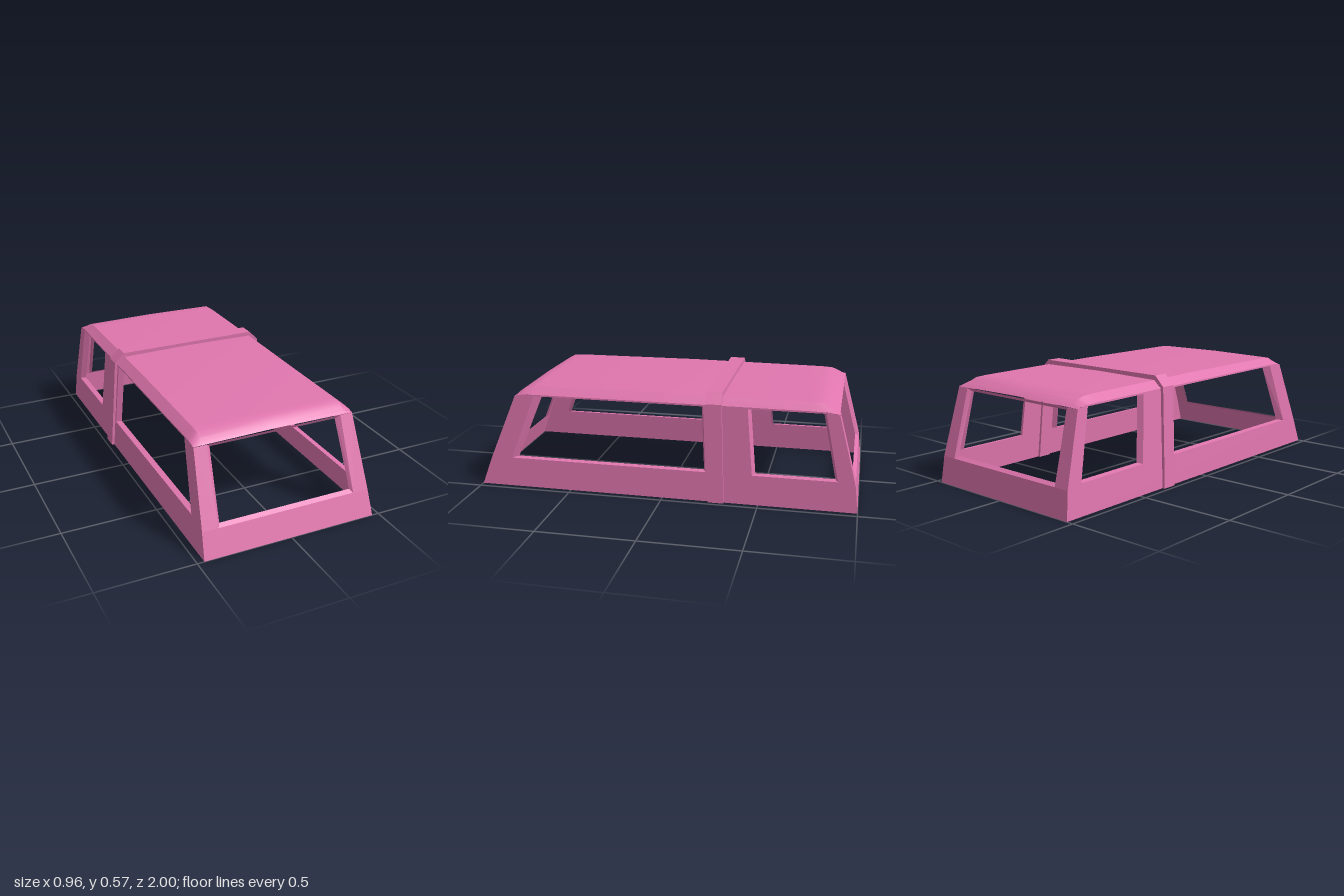
import * as THREE from 'three';
import { toCreasedNormals } from 'three/addons/utils/BufferGeometryUtils.js';

const SILL = 0.155;
const TOP = 0.498;

// Body outline: half width and end positions at height y
const halfWidth = (y) => 0.464 - 0.07 * y;
const bend = (y, a, b, c) => (y < 0.14 ? a + (b - a) * (y / 0.14) : b + (c - b) * ((y - 0.14) / 0.36));
const frontZ = (y) => bend(y, 1, 0.95, 0.803);
const rearZ = (y) => -bend(y, 1, 0.983, 0.886);

// Flat-sided sheet between two rows of points
function strip(rowA, rowB) {
  const points = [];
  for (let i = 0; i < rowA.length - 1; i++) {
    points.push(rowA[i], rowB[i], rowA[i + 1], rowA[i + 1], rowB[i], rowB[i + 1]);
  }
  const geometry = new THREE.BufferGeometry().setFromPoints(points);
  geometry.computeVertexNormals();
  return geometry;
}

export function createModel() {
  const group = new THREE.Group();
  const pink = new THREE.MeshStandardMaterial({ color: 0xe076ae, side: THREE.DoubleSide });
  pink.name = 'pink';

  const add = (name, geometry) => {
    const mesh = new THREE.Mesh(geometry, pink);
    mesh.name = name;
    group.add(mesh);
  };

  // Thin wall panel between two heights
  const panel = (name, place, y0, y1, bottom, top) =>
    add(name, strip(bottom.map((u) => place(u, y0, 0)), top.map((u) => place(u, y1, 0))));

  // Flange turned inward around a window; corners run bottom, bottom, top, top
  const flange = (name, place, corners, insets, depth) => {
    const ring = [...corners, corners[0]];
    const inset = [...insets, insets[0]];
    add(name, strip(
      ring.map(([u, y]) => place(u, y, 0)),
      ring.map(([u, y], i) => place(u + inset[i][0], y + inset[i][1], depth)),
    ));
  };

  // Side walls
  for (const [side, s] of [['left', 1], ['right', -1]]) {
    const place = (z, y, d) => new THREE.Vector3(s * (halfWidth(y) - d), y, z);
    const piece = (part, ...rest) => panel(side + part, place, ...rest);
    piece('LowerSill', 0, 0.14, [frontZ(0), rearZ(0)], [frontZ(0.14), rearZ(0.14)]);
    piece('UpperSill', 0.14, SILL, [frontZ(0.14), rearZ(0.14)], [frontZ(SILL), rearZ(SILL)]);
    piece('FrontPillar', SILL, TOP, [frontZ(SILL), 0.83], [frontZ(TOP), 0.7]);
    piece('MiddlePillar', SILL, TOP, [-0.225, -0.465], [-0.206, -0.433]);
    piece('RearPillar', SILL, TOP, [-0.895, rearZ(SILL)], [-0.822, rearZ(TOP)]);
    piece('Header', TOP, 0.507, [0.79, -0.875], [0.735, -0.835]);
    flange(side + 'FrontWindowFlange', place,
      [[0.83, SILL], [-0.225, SILL], [-0.206, TOP], [0.7, TOP]],
      [[-0.03, 0.004], [0.012, 0.004], [0.012, -0.008], [-0.035, -0.008]], 0.03);
    flange(side + 'RearWindowFlange', place,
      [[-0.465, SILL], [-0.895, SILL], [-0.822, TOP], [-0.433, TOP]],
      [[-0.014, 0.004], [0.014, 0.004], [0.014, 0], [-0.014, 0]], 0.03);
  }

  // End walls
  for (const [end, endZ, dir, sill] of [['front', frontZ, -1, 0.13], ['rear', rearZ, 1, 0.14]]) {
    const place = (x, y, d) => new THREE.Vector3(x, y, endZ(y) + dir * d);
    const w = halfWidth;
    panel(end + 'Sill', place, 0, sill, [-w(0), w(0)], [-w(sill), w(sill)]);
    for (const s of [1, -1]) {
      panel(end + (s > 0 ? 'Left' : 'Right') + 'Pillar', place, sill, 0.495,
        [s * w(sill), s * 0.37], [s * w(0.495), s * 0.362]);
    }
    flange(end + 'WindowFlange', place,
      [[0.37, sill], [-0.37, sill], [-0.362, 0.495], [0.362, 0.495]],
      [[-0.013, 0.014], [0.013, 0.014], [0.018, -0.016], [-0.018, -0.016]], 0.016);
  }

  add('roof', roofGeometry());

  // Raked hoop around the body
  const half = [[0.478, 0], [0.444, 0.515], [0.39, 0.568]];
  const inner = [[0.375, 0.535], [0.418, 0.495], [0.45, 0]];
  const mirror = (list) => list.map(([x, y]) => [-x, y]).reverse();
  const loop = [...half, ...mirror(half), ...mirror(inner), ...inner];
  const shape = new THREE.Shape(loop.map(([x, y]) => new THREE.Vector2(x, y)));
  const hoop = new THREE.ExtrudeGeometry(shape, { depth: 0.08, bevelEnabled: false });
  const pos = hoop.attributes.position;
  for (let i = 0; i < pos.count; i++) pos.setZ(i, pos.getZ(i) - 0.325 + pos.getY(i) * 0.045);
  hoop.computeVertexNormals();
  add('hoop', hoop);

  return group;
}

// Roof skin: chamfered cross-section carried along z, sloped down at both ends
function roofGeometry() {
  // z, eave height, top edge height
  const stations = [
    [0.804, 0.495, 0.496], [0.793, 0.498, 0.507], [0.774, 0.502, 0.522], [0.745, 0.505, 0.538],
    [0.7, 0.506, 0.541], [0, 0.507, 0.546], [-0.75, 0.507, 0.541],
    [-0.81, 0.506, 0.538], [-0.84, 0.504, 0.526], [-0.868, 0.501, 0.512], [-0.887, 0.495, 0.496],
  ];
  const positions = [];
  const index = [];
  const n = 5;
  for (const [z, e, t] of stations) {
    positions.push(0.43, e, z, 0.385, t, z, 0, t + 0.005, z, -0.385, t, z, -0.43, e, z);
  }
  for (let i = 0; i < stations.length - 1; i++) {
    for (let j = 0; j < n - 1; j++) {
      const a = i * n + j, b = a + 1;
      index.push(a, a + n, b, b, a + n, b + n);
    }
  }
  const geometry = new THREE.BufferGeometry();
  geometry.setAttribute('position', new THREE.Float32BufferAttribute(positions, 3));
  geometry.setIndex(index);
  return toCreasedNormals(geometry, 0.55);
}
